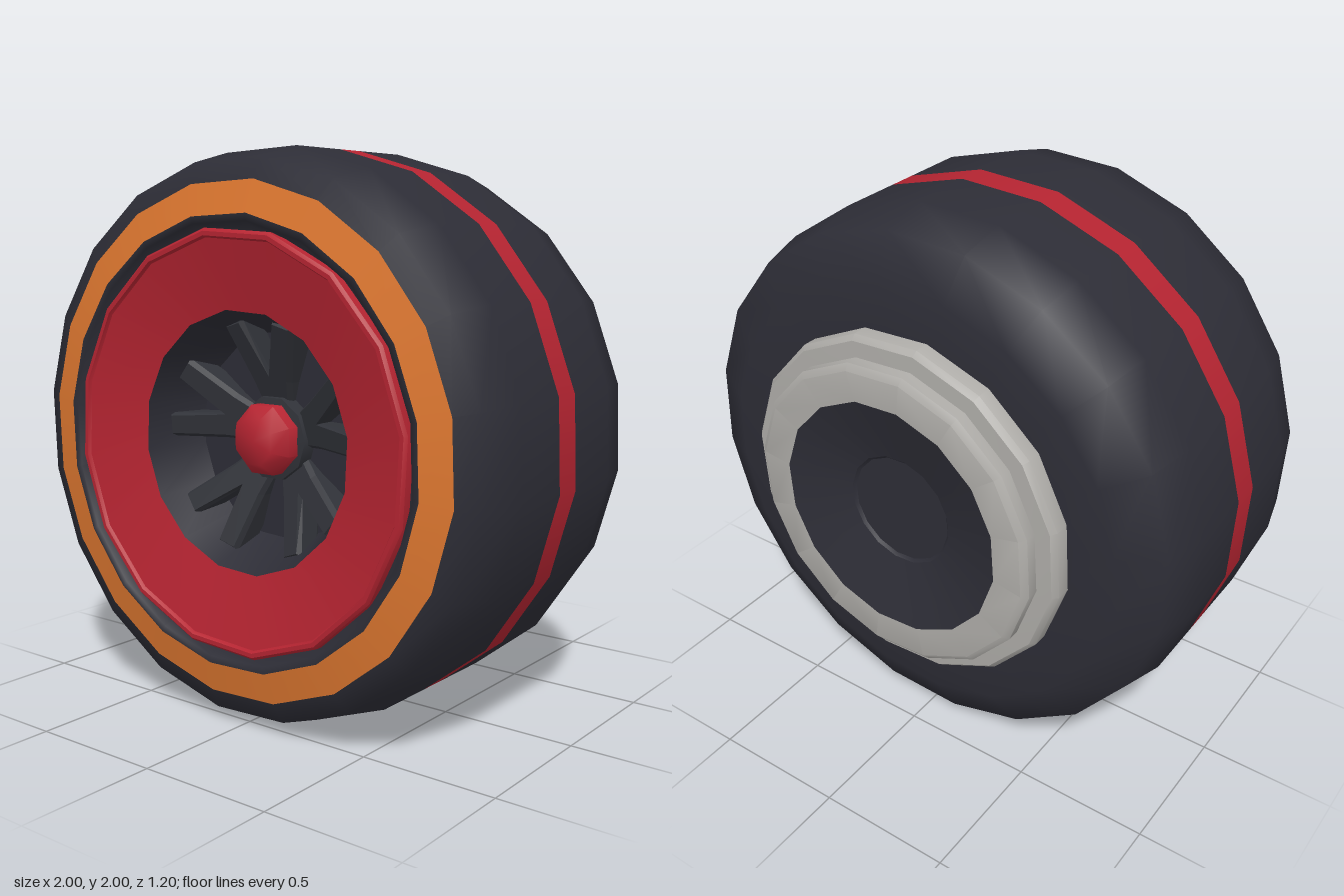
import * as THREE from 'three';
import { toCreasedNormals } from 'three/addons/utils/BufferGeometryUtils.js';

const mat = (name, color) => new THREE.MeshStandardMaterial({ name, color });

export function createModel() {
  const rubber = mat('dark rubber', 0x2d2d36);
  const spokeGrey = mat('charcoal', 0x303238);
  const red = mat('red', 0xb52431);
  const orange = mat('orange', 0xdf7830);
  const metal = mat('light grey', 0xaeaca8);

  const wheel = new THREE.Group();
  wheel.name = 'wheel';
  wheel.position.y = 1;

  // Turned part around the z axis; profile is [radius, z] pairs
  const turn = (name, material, profile, sides, phase, crease) => {
    const points = profile.map(([r, z]) => new THREE.Vector2(r, z));
    let geo = new THREE.LatheGeometry(points, sides);
    geo.rotateX(Math.PI / 2);
    geo.rotateZ(THREE.MathUtils.degToRad(90 + phase));
    if (crease) geo = toCreasedNormals(geo, crease);
    const mesh = new THREE.Mesh(geo, material);
    mesh.name = name;
    wheel.add(mesh);
  };

  // Tyre, split where the colour changes
  const R = 1.007, tyrePhase = -6.8;
  turn('tyreBack', rubber,
    [[0.6, -0.467], [0.81, -0.467], [0.965, -0.39], [R, -0.22], [R, 0.02]], 20, tyrePhase);
  turn('treadStripe', red, [[R, 0.02], [R, 0.13]], 20, tyrePhase);
  turn('tyreFront', rubber,
    [[R, 0.13], [R, 0.37], [0.965, 0.54], [0.89, 0.575]], 20, tyrePhase);
  turn('sidewallBand', orange, [[0.89, 0.575], [0.78, 0.6]], 20, tyrePhase);
  turn('tyreBead', rubber, [[0.78, 0.6], [0.755, 0.598], [0.735, 0.56], [0.66, 0.55]], 20, tyrePhase);

  // Rim dish with raised lip, and the dark well behind the spokes
  turn('rimDish', red,
    [[0.735, 0.54], [0.735, 0.59], [0.725, 0.6], [0.71, 0.6], [0.703, 0.588], [0.458, 0.53]], 16, 8, 0.45);
  turn('rimWell', rubber, [[0.458, 0.53], [0.37, 0.32], [0, 0.32]], 16, 8, 0.45);

  // Stepped ring and dark bowl on the back
  turn('backRing', metal,
    [[0.445, -0.6], [0.555, -0.603], [0.578, -0.585], [0.578, -0.543], [0.635, -0.54],
      [0.652, -0.52], [0.652, -0.46]], 16, 8, 0.7);
  turn('backBowl', rubber, [[0, -0.52], [0.2, -0.52], [0.21, -0.53], [0.445, -0.6]], 16, 8, 0.45);

  // Hub cap
  turn('hubCap', red, [[0.13, 0.3], [0.13, 0.42], [0.086, 0.47], [0, 0.47]], 8, 22.5, 0.9);
  // close the lathe's faceted sides with a small nut face edge
  turn('hubCollar', spokeGrey, [[0.16, 0.3], [0.15, 0.37], [0.1, 0.38]], 10, 0, 0.7);

  // Five forked spokes, rising toward the rim
  const half = [[0.05, 0.06], [0.085, 0.2], [0.152, 0.395], [0.068, 0.42]];
  const outline = [...half, [0, 0.235], ...half.map(([x, y]) => [-x, y]).reverse()];
  const spokeGeo = new THREE.ExtrudeGeometry(
    new THREE.Shape(outline.map(([x, y]) => new THREE.Vector2(x, y))),
    { depth: 0.08, bevelThickness: 0.02, bevelSize: 0.012, bevelOffset: -0.012, bevelSegments: 1 });
  const pos = spokeGeo.attributes.position;
  for (let i = 0; i < pos.count; i++) {
    pos.setZ(i, pos.getZ(i) + 0.2 + 0.38 * pos.getY(i));
  }
  spokeGeo.computeVertexNormals();
  for (let i = 0; i < 5; i++) {
    const spoke = new THREE.Mesh(spokeGeo, spokeGrey);
    spoke.name = 'spoke';
    spoke.rotation.z = (i * Math.PI * 2) / 5;
    wheel.add(spoke);
  }

  const model = new THREE.Group();
  model.name = 'racingWheel';
  model.add(wheel);
  return model;
}
